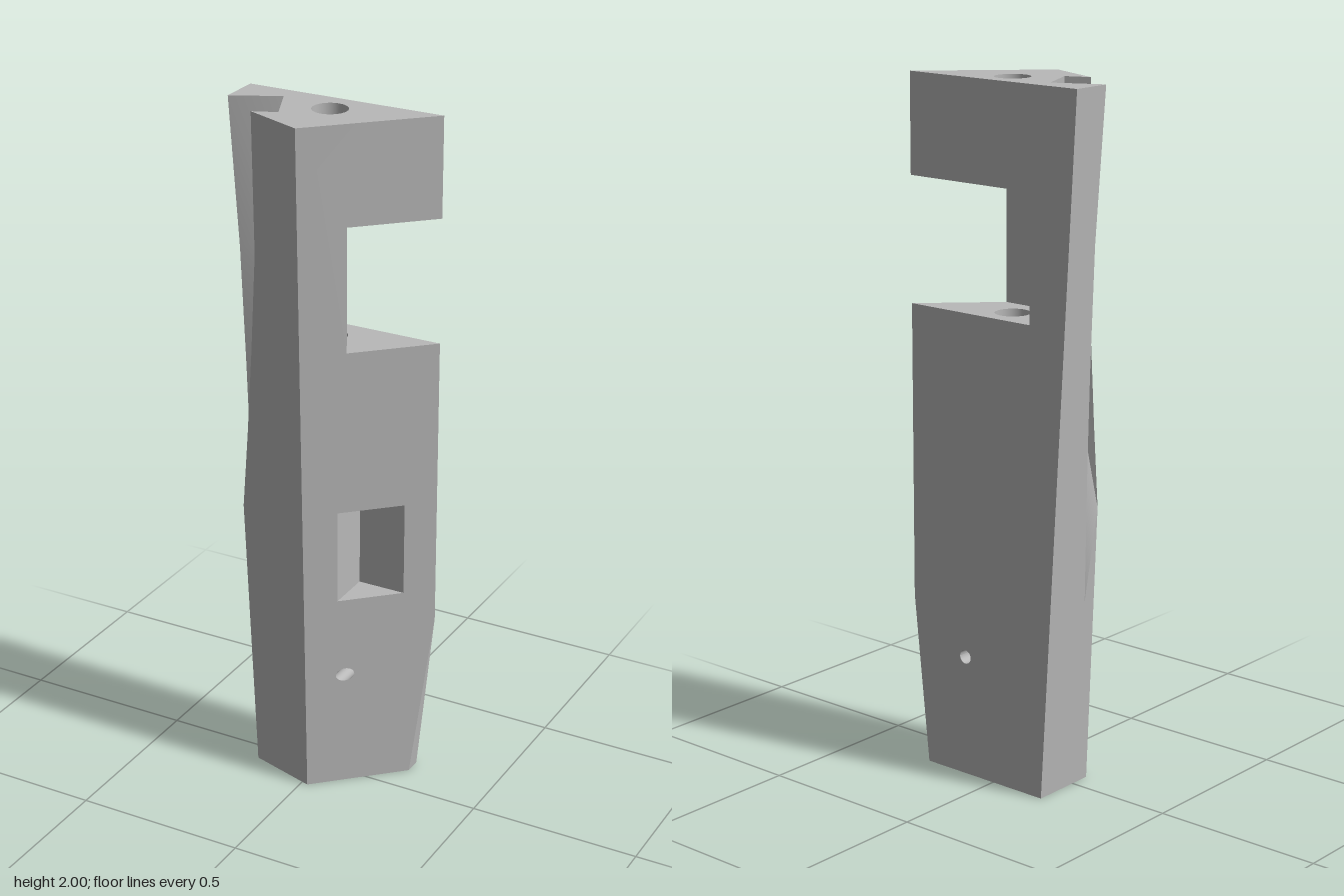
import * as THREE from 'three';

const V = (x, y, z) => new THREE.Vector3(x, y, z);
const BACK = -0.14;
const lerp = THREE.MathUtils.lerp;

// Tapering corners of the body at height y, as [x, z]
const leftCorner = y => [-0.178 - 0.0585 * y, 0.062 - 0.021 * y];
const frontCorner = y => [0.02 - 0.01 * y, 0.12 + 0.01 * y];
const rightX = y => 0.2967 - 0.0033 * y;

// Points on the three sloping sides
const onLeft = (y, z) => V(leftCorner(y)[0], y, z);
const onFrontLeft = (x, y) => {
  const [kx, kz] = leftCorner(y), [fx, fz] = frontCorner(y);
  return V(x, y, lerp(kz, fz, (x - kx) / (fx - kx)));
};
const onFrontRight = (x, y) => {
  const [fx, fz] = frontCorner(y);
  return V(x, y, lerp(fz, BACK, (x - fx) / (rightX(y) - fx)));
};
const frontRightXAt = (z, y) => {
  const [fx, fz] = frontCorner(y);
  return lerp(fx, rightX(y), (fz - z) / (fz - BACK));
};
const frontEdge = y => V(frontCorner(y)[0], y, frontCorner(y)[1]);
const rightEdge = y => V(rightX(y), y, BACK);
const ring = fn => Array.from({ length: 33 }, (_, i) => {
  const a = i % 32 / 32 * Math.PI * 2;
  return fn(Math.cos(a), Math.sin(a));
});

export function createModel() {
  const group = new THREE.Group();
  const grey = new THREE.MeshStandardMaterial({ color: 0xb8b8b8, side: THREE.DoubleSide });
  grey.name = 'plain grey';

  const add = (name, positions, index) => {
    let g = new THREE.BufferGeometry();
    g.setAttribute('position', new THREE.Float32BufferAttribute(positions.flatMap(p => p.toArray()), 3));
    g.setIndex(index);
    g.computeVertexNormals();
    const mesh = new THREE.Mesh(g, grey);
    mesh.name = name;
    group.add(mesh);
  };

  // Flat wall with optional openings, facing roughly along axis 'x', 'y' or 'z'
  const panel = (name, axis, sign, outline, holes = []) => {
    const [u, v] = ['x', 'y', 'z'].filter(a => a !== axis);
    const flat = pts => pts.map(p => new THREE.Vector2(p[u], p[v]));
    const pts = [...outline, ...holes.flat()];
    const tris = THREE.ShapeUtils.triangulateShape(flat(outline), holes.map(flat));
    const index = tris.flatMap(([a, b, c]) => {
      const n = pts[b].clone().sub(pts[a]).cross(pts[c].clone().sub(pts[a]));
      return n[axis] * sign >= 0 ? [a, b, c] : [a, c, b];
    });
    add(name, pts, index);
  };

  // Curved wall between two matching rows of points
  const strip = (name, a, b) => {
    const n = a.length, index = [];
    for (let i = 0; i < n - 1; i++) index.push(i, n + i, i + 1, n + i, n + i + 1, i + 1);
    add(name, [...a, ...b], index);
  };

  // Shared sizes: side notch, channel and bores
  const y0 = 1.355, y1 = 1.715, nx = -0.136, nz = 0.042;
  const innerX = z => -0.16 + (z + 0.085) * 0.44;
  const inner = (y, z) => V(innerX(z), y, z);
  const leftRim = [[2, -0.02], [1.57, -0.03], [1.23, -0.022], [0.97, -0.012], [0.55, 0.01]]
    .map(([y, z]) => onLeft(y, z));
  const backInner = [[2, -0.085], [1.6, -0.065], [1.4, -0.04], [1.3, -0.025], [1.3, -0.025]]
    .map(([y, z]) => inner(y, z));
  const tipY = 0.82, tip = onLeft(tipY, leftCorner(tipY)[1]);
  const frontRim = [...[[-0.172, 2], [-0.165, 1.6], [-0.185, 1.3], [-0.205, 1.05]]
    .map(([x, y]) => onFrontLeft(x, y)), tip];
  const frontInner = [2, 1.6, y0, y0, y0].map(y => inner(y, nz));
  const bore = y => ring((c, s) => V(0.05 * c, y, -0.05 + 0.05 * s));
  const pinX = c => 0.102 + 0.02 * c, pinY = s => 0.355 + 0.02 * s;
  const pinFront = ring((c, s) => onFrontRight(pinX(c), pinY(s)));
  const pinBack = ring((c, s) => V(pinX(c), pinY(s), BACK));
  const open = r => r.slice(0, -1);

  // Outer walls
  const chamferTop = rightEdge(0.5), chamferFront = onFrontRight(0.245, 0), chamferBack = V(0.245, 0, BACK);
  const leftBase = onLeft(0, leftCorner(0)[1]), leftBack = onLeft(0, BACK);
  const wx0 = 0.085, wz0 = -0.075, wy0 = 0.597, wy1 = 0.875;
  const windowPts = y => [V(wx0, y, wz0), onFrontRight(wx0, y), V(frontRightXAt(wz0, y), y, wz0)];
  const [lowIn, lowL, lowR] = windowPts(wy0), [topIn, topL, topR] = windowPts(wy1);
  const notchFront = y => V(frontRightXAt(nz, y), y, nz);

  panel('frontRightWall', 'z', 1, [
    frontEdge(0), chamferFront, chamferTop, rightEdge(y0), notchFront(y0),
    notchFront(y1), rightEdge(y1), rightEdge(2), frontEdge(2),
  ], [[lowL, lowR, topR, topL], open(pinFront)]);
  panel('backWall', 'z', -1, [
    leftBack, chamferBack, chamferTop, rightEdge(y0), V(nx, y0, BACK),
    V(nx, y1, BACK), rightEdge(y1), rightEdge(2), onLeft(2, BACK),
  ], [open(pinBack)]);
  panel('leftWall', 'x', -1, [leftBack, leftBase, tip, ...[...leftRim].reverse(), onLeft(2, BACK)]);
  panel('frontLeftWall', 'z', 1, [leftBase, frontEdge(0), frontEdge(2), ...frontRim]);
  panel('cornerChamfer', 'x', 1, [chamferBack, chamferFront, chamferTop]);
  panel('base', 'y', -1, [leftBack, chamferBack, chamferFront, frontEdge(0), leftBase]);
  panel('topFace', 'y', 1, [
    onLeft(2, BACK), rightEdge(2), frontEdge(2), frontRim[0], inner(2, nz), backInner[0], leftRim[0],
  ], [open(bore(2))]);

  // Curved channel in the left side
  strip('channelBackWall', backInner, leftRim);
  strip('channelFrontWall', frontRim, frontInner);
  panel('channelInnerWall', 'x', -1, [
    ...backInner.slice(0, 4), inner(y0, nz), inner(y0, -0.03), inner(y1, -0.03), inner(y1, nz), inner(2, nz),
  ]);
  panel('channelRamp', 'x', -1, [leftRim[4], tip, frontInner[4], backInner[4]]);

  // Side notch opening into the channel
  const notch = y => [V(nx, y, BACK), rightEdge(y), notchFront(y), inner(y, nz), inner(y, -0.03)];
  panel('notchFloor', 'y', 1, notch(y0), [open(bore(y0))]);
  panel('notchCeiling', 'y', -1, notch(y1), [open(bore(y1))]);
  panel('notchFrontWall', 'z', -1, [notchFront(y0), notchFront(y1), inner(y1, nz), inner(y0, nz)]);
  panel('notchSideWall', 'x', 1, [V(nx, y0, BACK), V(nx, y1, BACK), V(nx, y1, -0.03), V(nx, y0, -0.03)]);

  // Rectangular recess in the front right wall
  panel('recessFloor', 'y', 1, [lowIn, lowL, lowR]);
  panel('recessCeiling', 'y', -1, [topIn, topL, topR]);
  panel('recessSide', 'x', 1, [lowIn, lowL, topL, topIn]);
  panel('recessBack', 'z', 1, [lowIn, lowR, topR, topIn]);

  // Vertical bore and small cross hole
  strip('upperBore', bore(2), bore(y1));
  strip('lowerBore', bore(y0), bore(1.05));
  panel('boreBottom', 'y', 1, open(bore(1.05)));
  strip('pinHole', pinBack, pinFront);

  return group;
}
